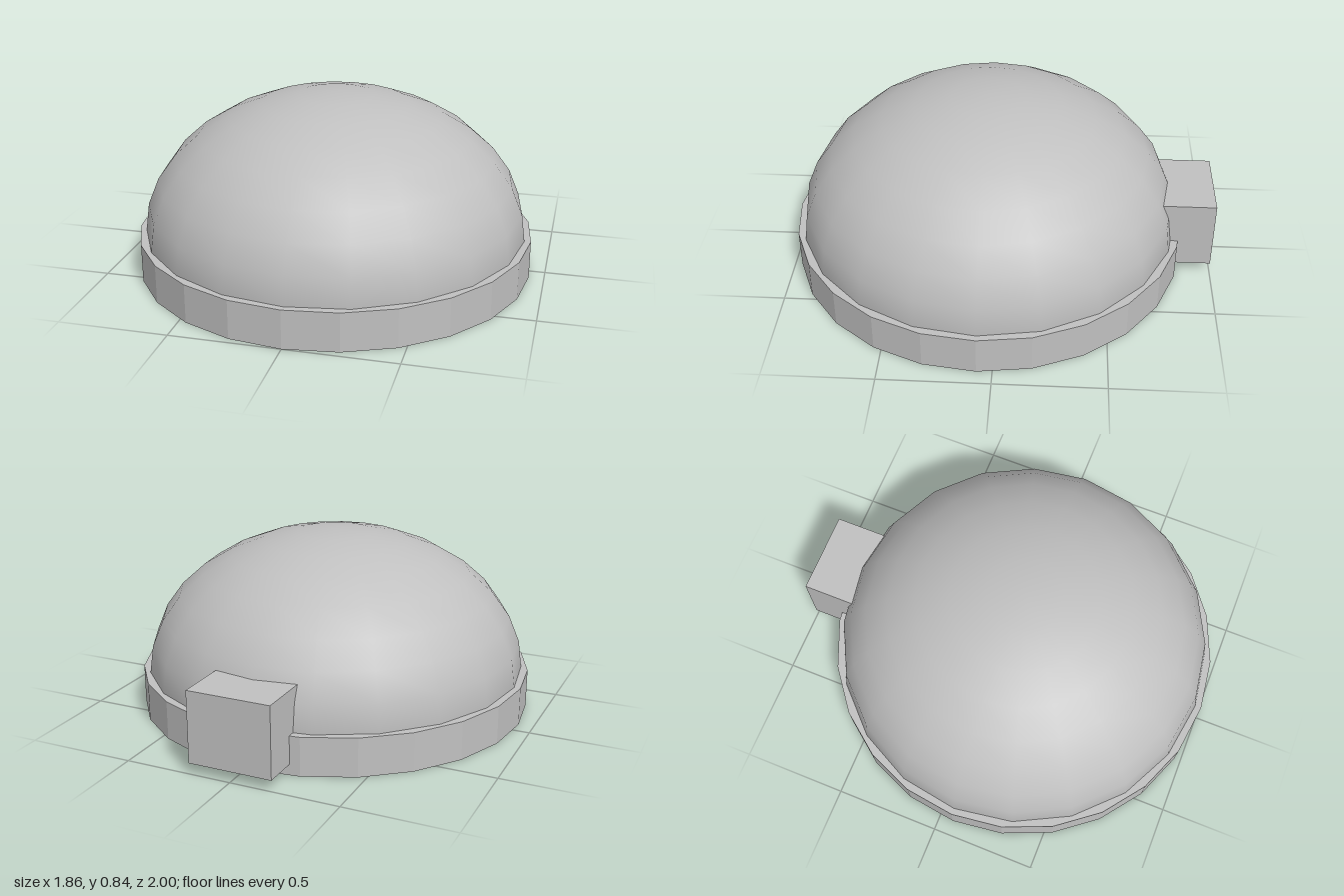
import * as THREE from 'three';

export function createModel() {
  const model = new THREE.Group();
  const grey = new THREE.MeshStandardMaterial({ color: 0xc0c0c0 });
  grey.name = 'light grey';

  const add = (name, geometry, x, y, z) => {
    const mesh = new THREE.Mesh(geometry, grey);
    mesh.name = name;
    mesh.position.set(x, y, z);
    model.add(mesh);
    return mesh;
  };

  const centreZ = 0.07;

  // Faceted base ring; unshared vertices keep each side flat
  const base = new THREE.CylinderGeometry(0.93, 0.93, 0.18, 24).toNonIndexed();
  base.computeVertexNormals();
  add('base', base, 0, 0.09, centreZ);

  // Smooth flattened dome
  const dome = new THREE.SphereGeometry(0.9, 20, 8, 0, Math.PI * 2, 0, Math.PI / 2);
  dome.scale(1, 0.66 / 0.9, 1);
  add('dome', dome, 0, 0.18, centreZ);

  // Block on the back, sunk into the dome
  add('rearBlock', new THREE.BoxGeometry(0.39, 0.33, 0.3), 0, 0.215, -0.85);

  return model;
}
